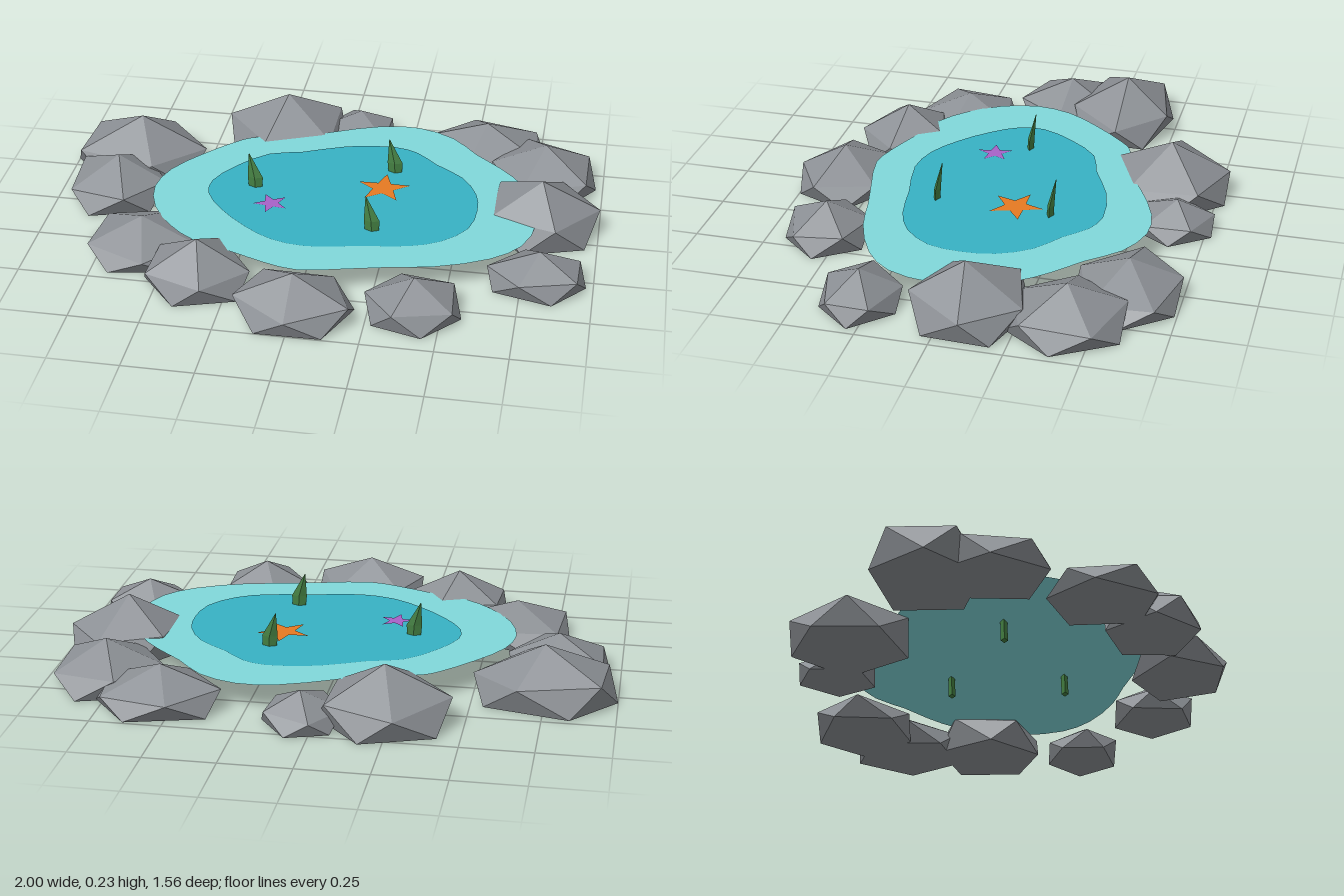
import * as THREE from 'three';

const mat = (name, color, extra = {}) => {
  const m = new THREE.MeshStandardMaterial({ color, ...extra });
  m.name = name;
  return m;
};

const WATER_Y = 0.1;

// Flat sheet of water from an outline of [x, z] points, smoothed
function waterSheet(name, points, y, material) {
  const curve = new THREE.CatmullRomCurve3(points.map(([x, z]) => new THREE.Vector3(x, -z, 0)), true);
  const shape = new THREE.Shape(curve.getPoints(points.length * 2).slice(0, -1).map(p => new THREE.Vector2(p.x, p.y)));
  const mesh = new THREE.Mesh(new THREE.ShapeGeometry(shape).rotateX(-Math.PI / 2), material);
  mesh.name = name;
  mesh.position.y = y;
  return mesh;
}

// Faceted boulder: five-sided base ring, offset shoulder ring and apex, fitted to its bounds
function rock([x0, x1, z0, z1, ax, az, h, turn], index, material) {
  const ring = [];
  for (let i = 0; i < 10; i++) {
    const a = THREE.MathUtils.degToRad(turn + i * 36 + 4 * Math.sin(i * 2.3 + index * 1.7));
    ring.push(new THREE.Vector3(Math.cos(a), i % 2 ? h * (0.46 + 0.05 * Math.sin(i + index)) : 0, Math.sin(a)));
  }
  const box = new THREE.Box3().setFromPoints(ring);
  for (const p of ring) {
    p.x = THREE.MathUtils.mapLinear(p.x, box.min.x, box.max.x, x0, x1);
    p.z = THREE.MathUtils.mapLinear(p.z, box.min.z, box.max.z, z0, z1);
  }
  const apex = new THREE.Vector3(ax, h, az);
  const tris = [];
  for (let i = 0; i < 5; i++) {
    const b = ring[2 * i], m = ring[2 * i + 1];
    const b2 = ring[(2 * i + 2) % 10], m2 = ring[(2 * i + 3) % 10];
    tris.push(apex, m2, m, b, m, b2, m, m2, b2);
    if (i > 0 && i < 4) tris.push(ring[0], b, b2);
  }
  const geo = new THREE.BufferGeometry().setFromPoints(tris);
  geo.computeVertexNormals();
  const mesh = new THREE.Mesh(geo, material);
  mesh.name = 'rock' + (index + 1);
  return mesh;
}

// Flat five-pointed star lying on the water
function starfish(name, x, z, radius, turn, material) {
  const shape = new THREE.Shape();
  for (let i = 0; i < 10; i++) {
    const a = Math.PI / 2 + turn + i * Math.PI / 5;
    const r = i % 2 ? radius * 0.4 : radius;
    shape[i ? 'lineTo' : 'moveTo'](Math.cos(a) * r, Math.sin(a) * r);
  }
  const mesh = new THREE.Mesh(new THREE.ShapeGeometry(shape).rotateX(-Math.PI / 2), material);
  mesh.name = name;
  mesh.position.set(x, WATER_Y + 0.007, z);
  return mesh;
}

// Bent leaf with a diamond section; levels are y, centre x, centre z, half width, half depth
function leafGeometry() {
  const levels = [
    [0.03, 0.008, 0.006, 0.021, 0.013],
    [0.14, 0.004, 0.002, 0.028, 0.012],
    [0.23, -0.02, -0.01, 0.001, 0.001],
  ];
  const geo = new THREE.CylinderGeometry(1, 1, 1, 4, 2);
  const pos = geo.attributes.position;
  for (let i = 0; i < pos.count; i++) {
    const [y, cx, cz, w, d] = levels[Math.round((pos.getY(i) + 0.5) * 2)];
    pos.setXYZ(i, cx + pos.getX(i) * w, y, cz + pos.getZ(i) * d);
  }
  geo.computeVertexNormals();
  return geo;
}

export function createModel() {
  const stone = mat('stone grey', 0x8c9095, { flatShading: true });
  const shallow = mat('shallow water', 0x80d8da, { side: THREE.DoubleSide });
  const deep = mat('deep water', 0x38b2c4);
  const orange = mat('starfish orange', 0xe67a22);
  const purple = mat('starfish purple', 0xa862c8);
  const green = mat('plant green', 0x447f42, { flatShading: true });
  const model = new THREE.Group();
  model.name = 'rockPool';

  // Water
  model.add(waterSheet('shallowWater', [
    [0.78, 0.05], [0.74, 0.21], [0.64, 0.31], [0.46, 0.39], [0.31, 0.42], [0.165, 0.455], [-0.01, 0.49],
    [-0.12, 0.465], [-0.26, 0.41], [-0.4, 0.36], [-0.5, 0.28], [-0.585, 0.16], [-0.62, 0.02],
    [-0.59, -0.11], [-0.5, -0.24], [-0.39, -0.36], [-0.345, -0.395], [-0.25, -0.42], [-0.2, -0.41],
    [-0.05, -0.49], [0.14, -0.57], [0.28, -0.58], [0.42, -0.52], [0.52, -0.41], [0.62, -0.32],
    [0.71, -0.21], [0.75, -0.08],
  ], WATER_Y, shallow));
  model.add(waterSheet('deepWater', [
    [0.565, 0], [0.545, 0.13], [0.46, 0.23], [0.35, 0.28], [0.19, 0.305], [0, 0.34], [-0.13, 0.315],
    [-0.24, 0.245], [-0.345, 0.145], [-0.415, 0.04], [-0.42, -0.05], [-0.355, -0.17], [-0.25, -0.28],
    [-0.13, -0.315], [0.03, -0.385], [0.21, -0.41], [0.3, -0.38], [0.38, -0.305], [0.485, -0.225],
    [0.55, -0.11],
  ], WATER_Y + 0.003, deep));

  // Ring of rocks: x range, z range, apex x and z, height, turn in degrees
  [
    [-1, -0.5, -0.48, -0.11, -0.745, -0.31, 0.205, 180],
    [-0.97, -0.6, -0.26, 0.11, -0.78, -0.08, 0.16, 180],
    [-0.8, -0.41, 0.1, 0.48, -0.6, 0.29, 0.135, 115],
    [-0.55, -0.17, 0.31, 0.64, -0.36, 0.47, 0.175, 110],
    [-0.2, 0.205, 0.43, 0.775, 0, 0.605, 0.16, 54],
    [0.235, 0.57, 0.395, 0.685, 0.405, 0.54, 0.145, 0],
    [0.63, 0.975, 0.155, 0.42, 0.81, 0.29, 0.135, 72],
    [0.58, 1, -0.28, 0.11, 0.79, -0.07, 0.205, 180],
    [0.58, 0.975, -0.6, -0.21, 0.78, -0.41, 0.165, 0],
    [0.33, 0.78, -0.745, -0.39, 0.545, -0.57, 0.15, 0],
    [-0.46, 0, -0.785, -0.37, -0.23, -0.575, 0.205, 0],
    [-0.1, 0.18, -0.775, -0.5, 0.045, -0.645, 0.12, 0],
  ].forEach((r, i) => model.add(rock(r, i, stone)));

  // Starfish
  model.add(starfish('orangeStarfish', 0.21, -0.095, 0.1, 0, orange));
  model.add(starfish('purpleStarfish', -0.175, 0.08, 0.066, 0.5, purple));

  // Water plants
  const leaf = leafGeometry();
  [[-0.26, -0.04], [0.23, -0.23], [0.205, 0.19]].forEach(([x, z], i) => {
    const plant = new THREE.Mesh(leaf, green);
    plant.name = 'waterPlant' + (i + 1);
    plant.position.set(x, 0, z);
    model.add(plant);
  });
  return model;
}
